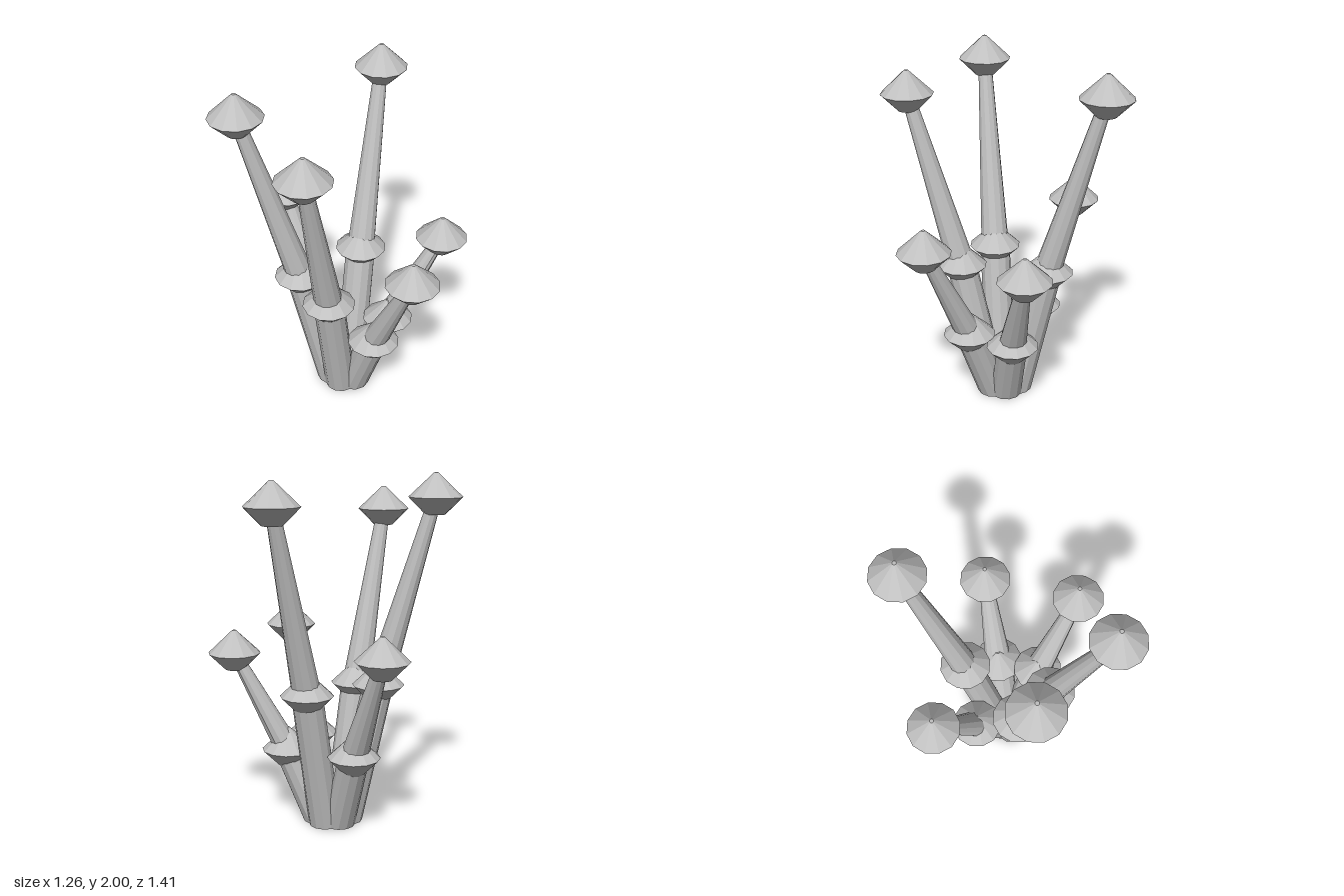
import * as THREE from 'three';

const SIDES = 12;

// Hollow tapered stem with level ends, slanted from point a to point b
function stem(a, b, r0, r1, material, name) {
  const h = b.y - a.y;
  const geo = new THREE.CylinderGeometry(r1, r0, h, SIDES, 1, true);
  geo.translate(0, h / 2, 0);
  const pos = geo.attributes.position;
  for (let i = 0; i < pos.count; i++) {
    const t = pos.getY(i) / h;
    pos.setXYZ(i,
      pos.getX(i) + a.x + (b.x - a.x) * t,
      pos.getY(i) + a.y,
      pos.getZ(i) + a.z + (b.z - a.z) * t);
  }
  geo.computeVertexNormals();
  const mesh = new THREE.Mesh(geo, material);
  mesh.name = name;
  return mesh;
}

// Double-cone cap, open underneath, widest at the given point
function cap(p, material, name) {
  const profile = [[0.055, -0.094], [0.148, 0], [0.011, 0.13], [0, 0.13]];
  const geo = new THREE.LatheGeometry(profile.map(([x, y]) => new THREE.Vector2(x, y)), SIDES);
  const mesh = new THREE.Mesh(geo, material);
  mesh.position.copy(p);
  mesh.name = name;
  return mesh;
}

export function createModel() {
  const model = new THREE.Group();
  model.name = 'stalkCluster';
  const grey = new THREE.MeshStandardMaterial({
    color: 0xc0c0c0, flatShading: true, side: THREE.DoubleSide,
  });
  grey.name = 'lightGrey';

  // Six stalks around a ring: [angle from front in degrees, collar height, head height]
  const stalks = [
    [0, 0.775, 1.77],
    [60, 0.46, 1.07],
    [120, 0.43, 0.995],
    [180, 0.81, 1.85],
    [240, 0.46, 1.07],
    [300, 0.82, 1.87],
  ];

  stalks.forEach(([deg, collarY, headY], i) => {
    const a = THREE.MathUtils.degToRad(deg);
    const at = (r, y) => new THREE.Vector3(Math.sin(a) * r, y, Math.cos(a) * r);
    const foot = at(0.08, 0);
    const joint = at(0.258, collarY);
    const top = at(0.556, headY);
    const stalk = new THREE.Group();
    stalk.name = `stalk${i + 1}`;
    stalk.add(
      stem(foot, joint, 0.092, 0.088, grey, 'lowerStem'),
      cap(joint, grey, 'collar'),
      stem(joint, top, 0.082, 0.037, grey, 'upperStem'),
      cap(top, grey, 'head'),
    );
    model.add(stalk);
  });
  return model;
}
